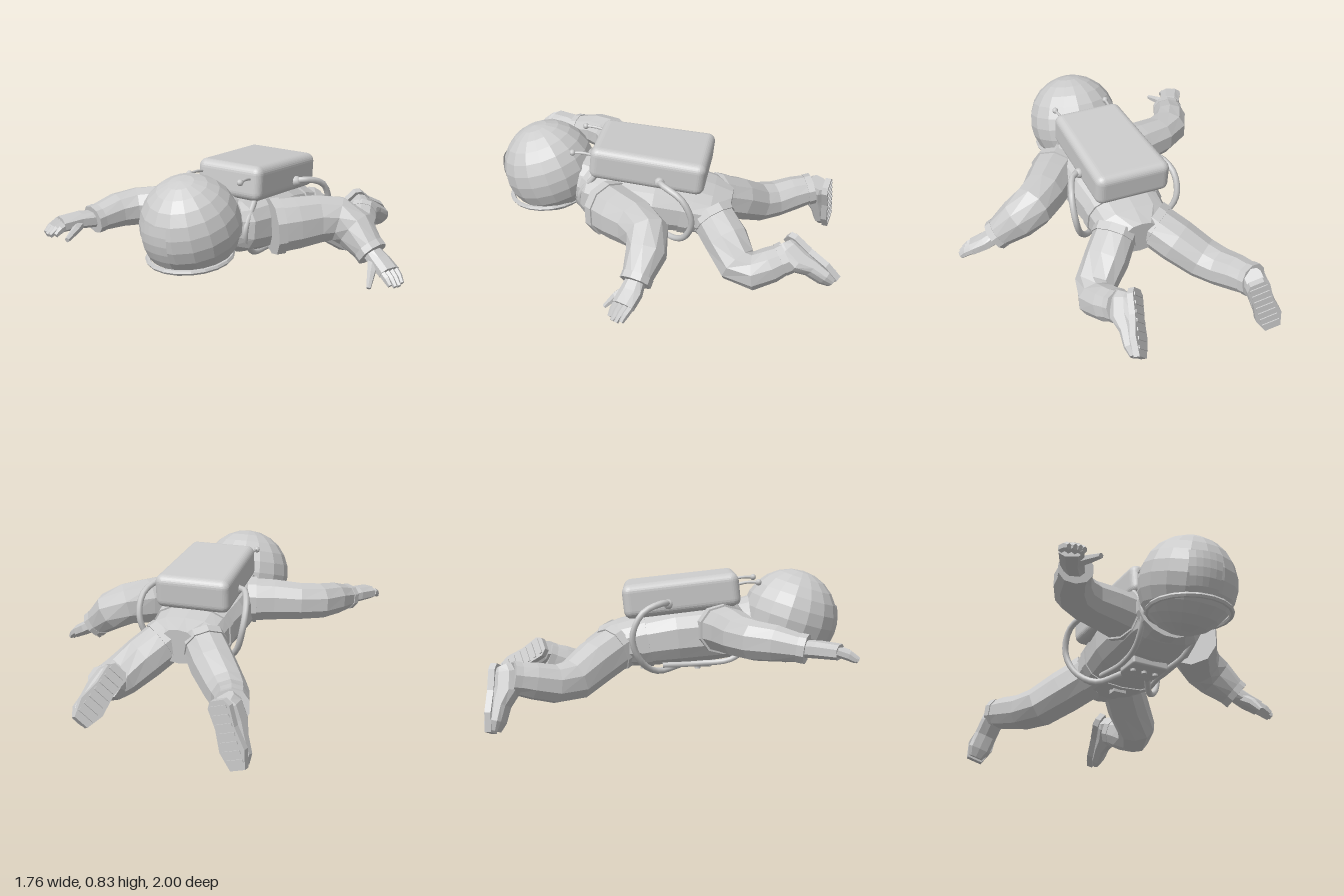
import * as THREE from 'three';
import { RoundedBoxGeometry } from 'three/addons/geometries/RoundedBoxGeometry.js';

const flat = new THREE.MeshStandardMaterial({ color: 0xcccccc, flatShading: true, side: THREE.DoubleSide });
const smooth = new THREE.MeshStandardMaterial({ color: 0xcccccc });
const V = (p) => new THREE.Vector3(p[0], p[1], p[2]);

function mesh(name, geometry, parent, material = flat) {
  const m = new THREE.Mesh(geometry, material);
  m.name = name;
  parent.add(m);
  return m;
}

// Capped skin through sections [x, y, z, halfWidth, halfHeight]; power < 1 makes it boxier
function loft(sections, sides = 10, power = 1, up = [0, 1, 0]) {
  const pos = [], index = [], n = sections.length, c = sections.map(V);
  const bend = (v) => Math.sign(v) * Math.abs(v) ** power;
  sections.forEach((s, i) => {
    const t = c[Math.min(i + 1, n - 1)].clone().sub(c[Math.max(i - 1, 0)]).normalize();
    const side = V(up).cross(t).normalize();
    const top = t.clone().cross(side);
    for (let j = 0; j < sides; j++) {
      const a = ((j + 0.5) / sides) * Math.PI * 2;
      const p = c[i].clone().addScaledVector(side, s[3] * bend(Math.cos(a)))
        .addScaledVector(top, (s[4] ?? s[3]) * bend(Math.sin(a)));
      pos.push(p.x, p.y, p.z);
    }
  });
  pos.push(...c[0].toArray(), ...c[n - 1].toArray());
  for (let j = 0; j < sides; j++) {
    const k = (j + 1) % sides, last = (n - 1) * sides;
    for (let i = 0; i < n - 1; i++) {
      const r = i * sides, q = r + sides;
      index.push(r + j, r + k, q + j, r + k, q + k, q + j);
    }
    index.push(n * sides, k, j, n * sides + 1, last + j, last + k);
  }
  const g = new THREE.BufferGeometry();
  g.setAttribute('position', new THREE.Float32BufferAttribute(pos, 3));
  g.setIndex(index);
  const out = g.toNonIndexed();
  out.computeVertexNormals();
  return out;
}

function tube(points, r, segments = 20) {
  return new THREE.TubeGeometry(new THREE.CatmullRomCurve3(points.map(V)), segments, r, 8);
}

// Sleeve or trouser leg with a band at each end
function limb(name, sections, parent) {
  const g = new THREE.Group();
  g.name = name;
  parent.add(g);
  mesh(name + 'Sleeve', loft(sections, 10, 0.9), g);
  const n = sections.length;
  [[sections[0], sections[1], 0.04], [sections[n - 1], sections[n - 2], 0.03]].forEach(([a, b, len], i) => {
    const d = V(b).sub(V(a)).normalize();
    const at = (k) => [...V(a).addScaledVector(d, k).toArray(), a[3] + 0.008, (a[4] ?? a[3]) + 0.008];
    mesh(name + (i ? 'Cuff' : 'JointBand'), loft([at(-0.01), at(len)], 10, 0.9), g);
  });
}

// Glove: palm, four fingers side by side, and thumb
function hand(name, palm, tip, thumb, parent) {
  const g = new THREE.Group();
  g.name = name;
  parent.add(g);
  mesh('palm', loft(palm, 8, 0.8), g);
  const knuckle = V(palm[palm.length - 1]);
  const dir = V(tip).sub(knuckle);
  const side = new THREE.Vector3(0, 1, 0).cross(dir).normalize();
  for (let i = 0; i < 4; i++) {
    const o = (i - 1.5) * 0.03;
    const at = (k, r, drop) => [...knuckle.clone().addScaledVector(dir, k)
      .addScaledVector(side, o * (1 - 0.15 * k)).add(new THREE.Vector3(0, -drop, 0)).toArray(), r, r * 1.3];
    const len = i === 0 || i === 3 ? 0.85 : 1;
    mesh('finger', loft([at(-0.2, 0.018, 0), at(0.5 * len, 0.018, 0), at(len, 0.012, 0.01)], 6), g);
  }
  mesh('thumb', loft(thumb, 6), g);
}

// Boot in its own frame: +z to the toe, -y through the sole, origin at the ankle
function boot(name, ankle, toe, soleNormal, parent) {
  const g = new THREE.Group();
  g.name = name;
  const z = V(toe).normalize();
  const y = V(soleNormal).negate();
  y.addScaledVector(z, -y.dot(z)).normalize();
  g.applyMatrix4(new THREE.Matrix4().makeBasis(y.clone().cross(z), y, z).setPosition(...ankle));
  parent.add(g);
  mesh('upper', loft([[0, -0.04, -0.075, 0.05, 0.05], [0, -0.025, -0.04, 0.068, 0.065], [0, -0.02, 0.05, 0.068, 0.07],
    [0, -0.045, 0.13, 0.068, 0.045], [0, -0.055, 0.22, 0.068, 0.035], [0, -0.065, 0.27, 0.042, 0.022]], 10, 0.7), g);
  const outline = new THREE.Shape();
  outline.moveTo(-0.04, 0.085);
  [[0.04, 0.085], [0.065, 0.05], [0.058, -0.06], [0.075, -0.18], [0.045, -0.28], [-0.045, -0.28], [-0.075, -0.18],
    [-0.058, -0.06], [-0.065, 0.05]].forEach((p) => outline.lineTo(...p));
  const sole = mesh('sole', new THREE.ExtrudeGeometry(outline, { depth: 0.035, bevelEnabled: false }), g);
  sole.rotation.x = -Math.PI / 2;
  sole.position.y = -0.11;
  for (let i = 0; i < 7; i++) {
    mesh('tread', new THREE.BoxGeometry(0.1, 0.008, 0.018), g).position.set(0, -0.112, -0.05 + i * 0.047);
  }
}

export function createModel() {
  const root = new THREE.Group();
  root.name = 'floatingAstronaut';

  // Helmet with forehead plate and visor rim
  const helmet = new THREE.Group();
  helmet.name = 'helmet';
  helmet.position.set(-0.06, 0.582, 0.72);
  root.add(helmet);
  const shell = mesh('shell', new THREE.SphereGeometry(0.267, 16, 12), helmet);
  shell.rotation.set(0.3, -0.15, 0);
  mesh('foreheadPlate', new THREE.SphereGeometry(0.275, 5, 5, Math.PI / 2 - 0.53, 0.68, 1.36, 0.9), helmet);
  const rim = mesh('visorRim', new THREE.TorusGeometry(0.222, 0.014, 6, 20), helmet);
  rim.rotation.x = Math.PI / 2 + 0.08;
  rim.position.set(0, -0.165, 0.01);
  mesh('neckRing', loft([[-0.05, 0.52, 0.44, 0.18, 0.16], [-0.055, 0.53, 0.51, 0.18, 0.17]], 16), root);

  // Torso from collar to pelvis, with belt
  mesh('torso', loft([[-0.05, 0.52, 0.5, 0.16, 0.13], [-0.04, 0.51, 0.44, 0.22, 0.15], [-0.025, 0.5, 0.3, 0.25, 0.165],
    [-0.03, 0.48, 0.08, 0.25, 0.165], [-0.035, 0.45, -0.1, 0.225, 0.15], [-0.04, 0.43, -0.24, 0.215, 0.13],
    [-0.04, 0.42, -0.35, 0.1, 0.1]], 14, 0.75), root);
  mesh('belt', loft([[-0.035, 0.455, -0.08, 0.235, 0.16], [-0.036, 0.445, -0.13, 0.232, 0.155]], 14, 0.75), root);
  const panel = mesh('chestPanel', new RoundedBoxGeometry(0.22, 0.06, 0.16, 2, 0.012), root, smooth);
  panel.position.set(-0.03, 0.33, 0.2);
  for (const x of [-0.07, 0, 0.07]) {
    mesh('panelKnob', new THREE.CylinderGeometry(0.016, 0.016, 0.02, 8), root).position.set(x - 0.03, 0.296, 0.2);
  }
  mesh('buckle', new THREE.BoxGeometry(0.08, 0.03, 0.05), root).position.set(-0.035, 0.295, -0.1);

  // Backpack, a little wider at its lower end
  const packGeo = new RoundedBoxGeometry(0.42, 0.19, 0.65, 4, 0.045);
  const p = packGeo.attributes.position;
  for (let i = 0; i < p.count; i++) {
    const k = p.getZ(i) / 0.325;
    p.setX(i, p.getX(i) * (1 - 0.05 * k) + 0.018 * k);
  }
  packGeo.computeVertexNormals();
  const pack = mesh('backpack', packGeo, root, smooth);
  pack.position.set(-0.04, 0.712, 0.105);
  pack.rotation.x = -0.11;

  // Mirrored fittings: pack stubs, side hoses and chest straps
  for (const s of [1, -1]) {
    const X = (x) => -0.035 + s * x;
    mesh('packStub', tube([[X(0.15), 0.77, 0.4], [X(0.155), 0.785, 0.47], [X(0.16), 0.785, 0.53]], 0.008, 6), root, smooth);
    mesh('stubKnob', new THREE.SphereGeometry(0.018, 8, 6), root, smooth).position.set(X(0.16), 0.785, 0.53);
    mesh('sideHose', tube([[X(0.2), 0.67, 0.04], [X(0.26), 0.68, 0], [X(0.31), 0.63, -0.11], [X(0.31), 0.5, -0.165],
      [X(0.26), 0.36, -0.12], [X(0.17), 0.29, -0.03], [X(0.08), 0.31, 0.1]], 0.018), root, smooth);
    mesh('hoseSocket', new THREE.SphereGeometry(0.03, 8, 6), root, smooth).position.set(X(0.21), 0.67, 0.03);
    mesh('chestStrap', tube([[X(0.17), 0.66, 0.4], [X(0.17), 0.5, 0.5], [X(0.15), 0.36, 0.4], [X(0.13), 0.325, 0.2],
      [X(0.16), 0.32, 0]], 0.016), root, smooth);
  }

  // Arms
  limb('rightArm', [[-0.22, 0.53, 0.33, 0.14, 0.13], [-0.36, 0.53, 0.375, 0.125, 0.122], [-0.5, 0.525, 0.415, 0.115, 0.11],
    [-0.6, 0.52, 0.48, 0.112, 0.105], [-0.66, 0.515, 0.58, 0.1, 0.095], [-0.71, 0.495, 0.72, 0.082, 0.07]], root);
  limb('leftArm', [[0.2, 0.5, 0.33, 0.14, 0.15], [0.28, 0.505, 0.235, 0.135, 0.145], [0.36, 0.51, 0.13, 0.125, 0.135],
    [0.45, 0.505, 0.05, 0.122, 0.125], [0.55, 0.455, 0.035, 0.11, 0.115], [0.67, 0.355, 0.07, 0.078, 0.08]], root);
  hand('rightHand', [[-0.7, 0.495, 0.7, 0.05, 0.045], [-0.76, 0.5, 0.78, 0.062, 0.045], [-0.81, 0.495, 0.88, 0.066, 0.04]],
    [-0.82, 0.465, 0.97],
    [[-0.75, 0.49, 0.78, 0.03], [-0.715, 0.475, 0.87, 0.024], [-0.695, 0.45, 0.965, 0.014]], root);
  hand('leftHand', [[0.65, 0.37, 0.065, 0.05, 0.045], [0.73, 0.32, 0.085, 0.065, 0.042], [0.8, 0.28, 0.115, 0.065, 0.038]],
    [0.865, 0.235, 0.15],
    [[0.7, 0.32, 0.11, 0.03], [0.72, 0.28, 0.17, 0.024], [0.735, 0.215, 0.23, 0.013]], root);

  // Legs and boots
  limb('rightLeg', [[-0.15, 0.42, -0.25, 0.12, 0.125], [-0.25, 0.35, -0.37, 0.125, 0.125], [-0.36, 0.27, -0.48, 0.115, 0.115],
    [-0.425, 0.26, -0.58, 0.105, 0.105], [-0.47, 0.285, -0.69, 0.095, 0.1], [-0.505, 0.305, -0.79, 0.085, 0.085]], root);
  limb('leftLeg', [[0.07, 0.42, -0.25, 0.12, 0.125], [0.17, 0.33, -0.35, 0.125, 0.125], [0.27, 0.24, -0.43, 0.115, 0.115],
    [0.3, 0.225, -0.52, 0.105, 0.105], [0.275, 0.26, -0.61, 0.095, 0.1], [0.245, 0.295, -0.69, 0.082, 0.085]], root);
  boot('rightBoot', [-0.515, 0.295, -0.8], [-0.33, -0.94, -0.05], [0.2, 0, -0.98], root);
  boot('leftBoot', [0.245, 0.3, -0.71], [0.25, -0.57, -0.78], [-0.7, 0.35, -0.55], root);
  return root;
}
